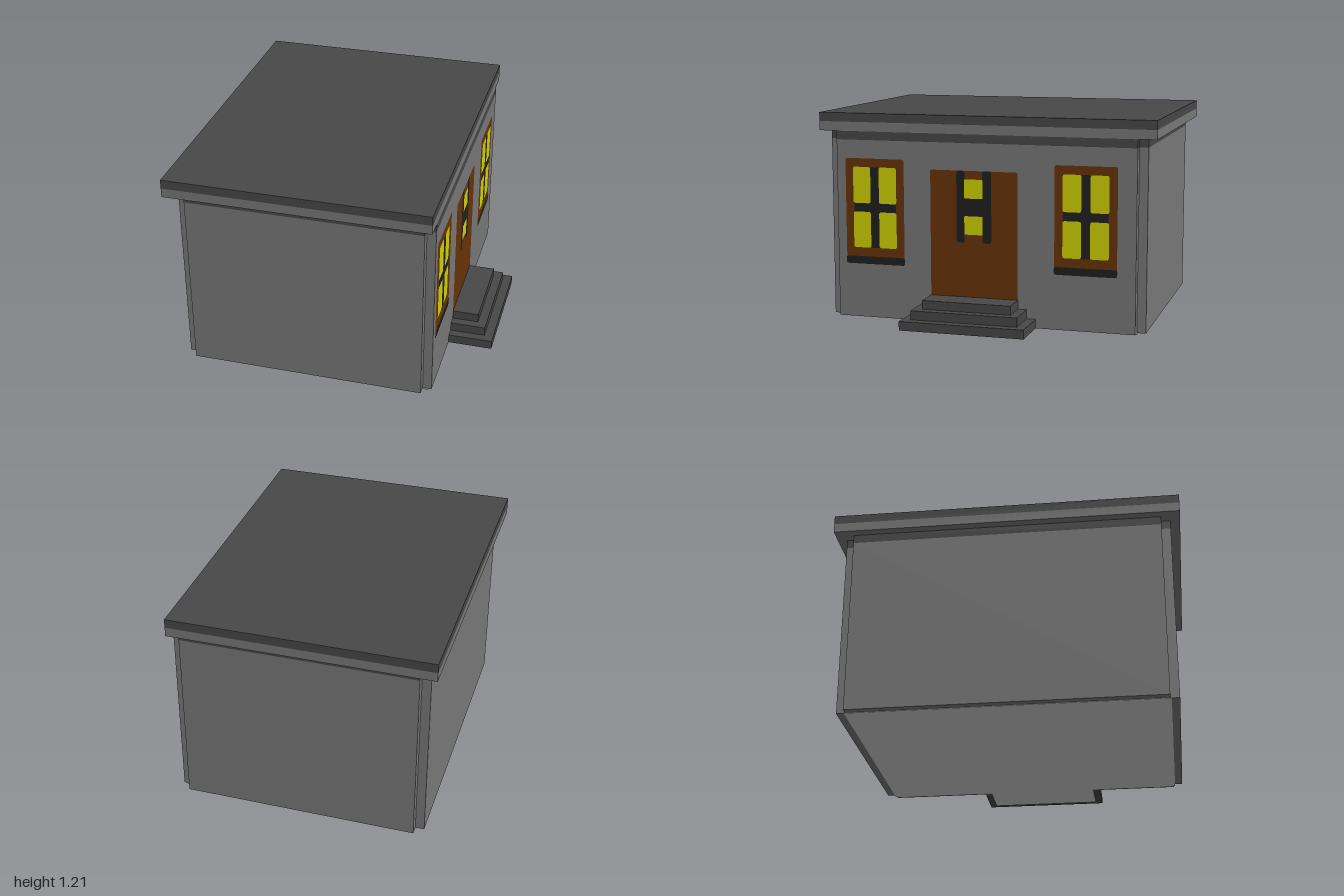
import * as THREE from 'three';

const mat = (name, color) => {
  const m = new THREE.MeshStandardMaterial({ color });
  m.name = name;
  return m;
};

export function createModel() {
  const house = new THREE.Group();
  house.name = 'house';
  const wall = mat('wall grey', 0x797979);
  const stone = mat('dark grey', 0x484848);
  const wood = mat('brown wood', 0x6a3307);
  const iron = mat('black trim', 0x202020);
  const glass = mat('yellow glass', 0xd2d400);
  const pale = mat('pale floor grey', 0xcbcbcb);
  const FACE = 0.632; // x of the entrance wall

  const add = (name, geo, material, parent = house) => {
    const mesh = new THREE.Mesh(geo, material);
    mesh.name = name;
    parent.add(mesh);
    return mesh;
  };
  // Box given by its limits on each axis
  const box = (name, material, [x0, x1], [y0, y1], [z0, z1], parent) => {
    const mesh = add(name, new THREE.BoxGeometry(x1 - x0, y1 - y0, z1 - z0), material, parent);
    mesh.position.set((x0 + x1) / 2, (y0 + y1) / 2, (z0 + z1) / 2);
  };
  // Floor plan: rectangle with a small square notch at each corner
  const X0 = -0.842, X1 = FACE, Z = 0.945, n = 0.052;
  const plan = [
    [X0 + n, -Z], [X1 - n, -Z], [X1 - n, -Z + n], [X1, -Z + n],
    [X1, Z - n], [X1 - n, Z - n], [X1 - n, Z], [X0 + n, Z],
    [X0 + n, Z - n], [X0, Z - n], [X0, -Z + n], [X0 + n, -Z + n],
  ].map(([x, z]) => new THREE.Vector2(x, z));
  const prism = (name, material, y0, y1) => {
    const geo = new THREE.ExtrudeGeometry(new THREE.Shape(plan), { depth: y1 - y0, bevelEnabled: false });
    geo.rotateX(-Math.PI / 2);
    add(name, geo, material).position.y = y0;
  };

  // Body
  prism('walls', wall, 0.002, 1.056);
  prism('friezeBand', stone, 1.056, 1.106);

  // Flat roof
  box('cornice', wall, [-0.895, FACE], [1.106, 1.16], [-1, 1]);
  box('roof', stone, [-0.895, FACE], [1.16, 1.212], [-1, 1]);

  // Entrance steps
  const steps = new THREE.Group();
  steps.name = 'steps';
  house.add(steps);
  box('topStep', stone, [FACE, 0.788], [0.108, 0.16], [-0.21, 0.316], steps);
  box('middleStep', stone, [FACE, 0.84], [0.055, 0.108], [-0.262, 0.369], steps);
  box('bottomStep', stone, [FACE, 0.893], [0.002, 0.055], [-0.315, 0.421], steps);

  // Pale underside, leaving a dark rim around house and steps
  box('floor', pale, [X0 + 0.045, X1 - 0.02], [0, 0.003], [-Z + 0.045, Z - 0.045]);
  box('stepUnderside', pale, [X1 - 0.02, 0.85], [0, 0.003], [-0.272, 0.378], steps);

  // Thin plate with slightly rounded corners on the entrance wall
  const plate = (name, material, layer, [y0, y1], [z0, z1], parent, r = 0.013) => {
    const w = (z1 - z0) / 2, h = (y1 - y0) / 2;
    const s = new THREE.Shape();
    s.moveTo(-w + r, -h);
    s.lineTo(w - r, -h); s.quadraticCurveTo(w, -h, w, -h + r);
    s.lineTo(w, h - r); s.quadraticCurveTo(w, h, w - r, h);
    s.lineTo(-w + r, h); s.quadraticCurveTo(-w, h, -w, h - r);
    s.lineTo(-w, -h + r); s.quadraticCurveTo(-w, -h, -w + r, -h);
    const geo = new THREE.ShapeGeometry(s, 3);
    geo.rotateY(Math.PI / 2);
    add(name, geo, material, parent).position.set(FACE + 0.0007 * layer, (y0 + y1) / 2, (z0 + z1) / 2);
  };

  // Windows
  for (const zc of [0.659, -0.604]) {
    const win = new THREE.Group();
    win.name = 'window';
    house.add(win);
    const span = (a, b) => [zc + a, zc + b];
    plate('windowFrame', wood, 1, [0.34, 0.948], span(-0.181, 0.181), win);
    plate('windowSill', iron, 2, [0.322, 0.367], span(-0.183, 0.183), win);
    plate('windowMullion', iron, 2, [0.42, 0.898], span(-0.03, 0.03), win);
    plate('windowCrossbar', iron, 2, [0.63, 0.686], span(-0.13, 0.13), win, 0.004);
    for (const s of [span(-0.134, -0.026), span(0.026, 0.134)])
      for (const y of [[0.42, 0.633], [0.684, 0.898]]) plate('windowPane', glass, 3, y, s, win);
  }

  // Door with a small barred window
  const door = new THREE.Group();
  door.name = 'door';
  house.add(door);
  plate('doorPanel', wood, 1, [0.14, 0.897], [-0.208, 0.315], door);
  plate('doorBar', iron, 2, [0.48, 0.897], [0.108, 0.157], door);
  plate('doorBar', iron, 2, [0.48, 0.897], [-0.052, 0.002], door);
  plate('doorCrossbar', iron, 2, [0.62, 0.75], [-0.01, 0.12], door);
  plate('doorPane', glass, 3, [0.737, 0.848], [0, 0.11], door, 0.006);
  plate('doorPane', glass, 3, [0.527, 0.635], [0, 0.11], door, 0.006);

  return house;
}
